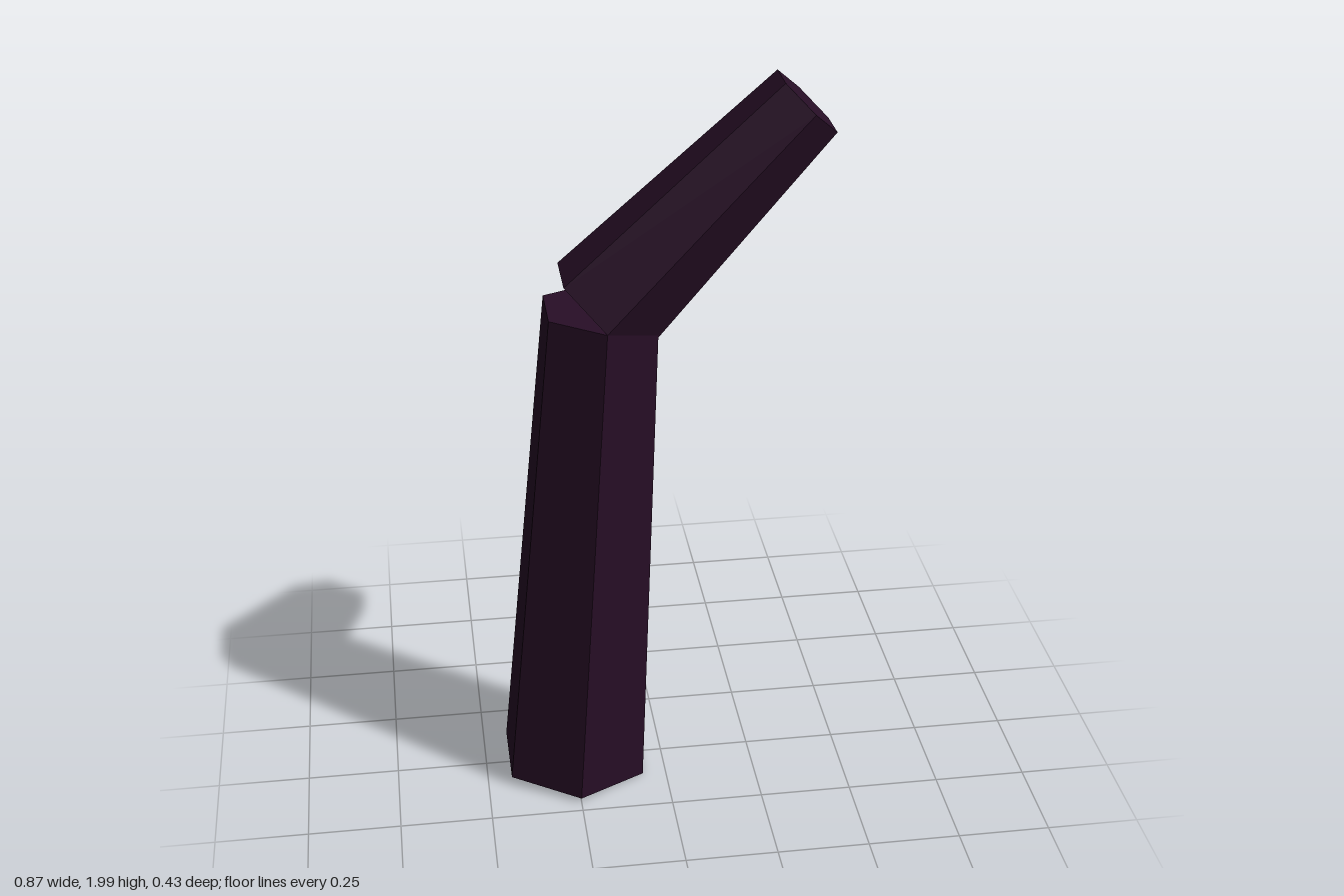
import * as THREE from 'three';

export function createModel() {
  const group = new THREE.Group();
  const bark = new THREE.MeshStandardMaterial({ color: 0x270e26, flatShading: true });
  bark.name = 'dark purple bark';

  // Tapered six-sided segment between two points, corners facing front and back
  function segment(name, from, to, r0, r1) {
    const a = new THREE.Vector2(...from), b = new THREE.Vector2(...to);
    const d = b.clone().sub(a);
    const mesh = new THREE.Mesh(new THREE.CylinderGeometry(r1, r0, d.length(), 6), bark);
    mesh.name = name;
    mesh.position.set((a.x + b.x) / 2, (a.y + b.y) / 2, 0);
    mesh.rotation.z = Math.atan2(-d.x, d.y);
    group.add(mesh);
  }

  // Trunk, then the bent branch sharing its joint
  segment('lowerTrunk', [-0.25, 0.0175], [-0.155, 1.405], 0.214, 0.162);
  segment('upperBranch', [-0.155, 1.405], [0.366, 1.934], 0.162, 0.108);

  return group;
}
